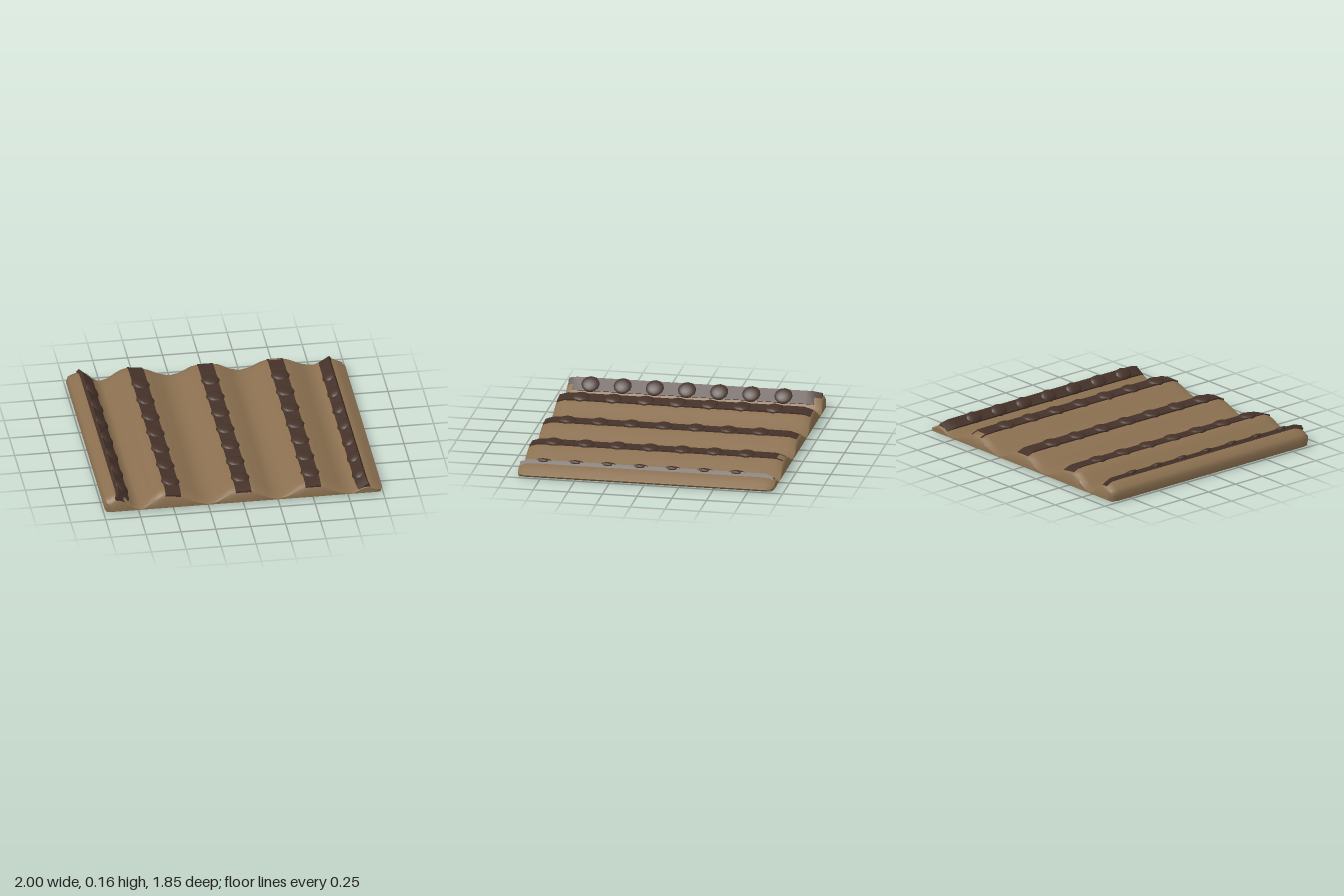
import * as THREE from 'three';
import { toCreasedNormals } from 'three/addons/utils/BufferGeometryUtils.js';

const clay = new THREE.MeshStandardMaterial({ color: 0x8b7050 });
const dark = new THREE.MeshStandardMaterial({ color: 0x453229 });

// Height of the wavy top at each x
const PROFILE = [
  [-1, 0.065], [-0.98, 0.1], [-0.93, 0.125], [-0.89, 0.135], [-0.85, 0.115], [-0.8, 0.06],
  [-0.77, 0.037], [-0.74, 0.03], [-0.7, 0.05], [-0.64, 0.1], [-0.6, 0.125], [-0.55, 0.14],
  [-0.46, 0.127], [-0.4, 0.1], [-0.33, 0.06], [-0.25, 0.03], [-0.19, 0.05], [-0.1, 0.105],
  [-0.04, 0.12], [0.04, 0.12], [0.1, 0.105], [0.18, 0.055], [0.25, 0.03], [0.31, 0.05],
  [0.4, 0.1], [0.46, 0.12], [0.54, 0.12], [0.6, 0.1], [0.69, 0.05], [0.75, 0.025],
  [0.79, 0.03], [0.85, 0.075], [0.9, 0.085], [0.95, 0.055], [0.985, 0.035], [1, 0.025],
];

// Lengthwise stations: z, half width, height factor, bottom lift
const STATIONS = [
  [-0.93, 0.95, 0.72, 0.008], [-0.915, 0.985, 0.86, 0.001], [-0.87, 1, 0.98, 0], [-0.8, 1, 1, 0],
  [0, 1, 1, 0],
  [0.8, 1, 1, 0], [0.86, 1, 0.98, 0], [0.905, 0.985, 0.86, 0.001], [0.92, 0.95, 0.72, 0.008],
];

function slabGeometry() {
  const n = PROFILE.length, ring = 2 * n, pos = [], idx = [];
  for (const [z, w, k, lift] of STATIONS) {
    // keep the crests in line and pull in only the outer margins
    const px = (x) => Math.max(-w, Math.min(w, x)) + Math.sign(x) * 0.0001 * Math.abs(x);
    const low = 0.01 + lift;
    for (const [x, y] of PROFILE) pos.push(px(x), Math.max(low + 0.004, y * k), z);
    for (let i = n - 1; i >= 0; i--) {
      const edge = i === 0 || i === n - 1;
      pos.push(px(PROFILE[i][0]) * (edge ? 0.985 : 1), low, z);
    }
  }
  for (let s = 0; s < STATIONS.length - 1; s++) {
    for (let i = 0; i < ring; i++) {
      const a = s * ring + i, b = s * ring + (i + 1) % ring, c = a + ring, d = b + ring;
      idx.push(a, c, b, b, c, d);
    }
  }
  // end caps
  const last = (STATIONS.length - 1) * ring;
  for (let i = 0; i < n - 1; i++) {
    const t0 = i, t1 = i + 1, b0 = ring - 1 - i, b1 = ring - 2 - i;
    idx.push(t0, t1, b0, t1, b1, b0);
    idx.push(last + t0, last + b0, last + t1, last + t1, last + b0, last + b1);
  }
  const g = new THREE.BufferGeometry();
  g.setAttribute('position', new THREE.Float32BufferAttribute(pos, 3));
  g.setIndex(idx);
  return toCreasedNormals(g, 0.9);
}

// Strip whose ends dip with the slab
function stripGeometry(width) {
  const g = new THREE.BoxGeometry(width, 0.03, 1.83, 1, 1, 30);
  const p = g.attributes.position;
  for (let i = 0; i < p.count; i++) {
    const over = Math.max(0, Math.abs(p.getZ(i)) - 0.85);
    p.setY(i, p.getY(i) - 0.015 - over * 0.33);
  }
  g.computeVertexNormals();
  return g;
}

// Strip and its row of seven bumps, lying on a ridge
function ridgeBand(x, y, tilt, width) {
  const band = new THREE.Group();
  band.name = 'ridgeBand';
  const strip = new THREE.Mesh(stripGeometry(width), dark);
  strip.name = 'strip';
  band.add(strip);
  const bumpGeo = new THREE.SphereGeometry(1, 12, 8);
  for (let i = 0; i < 7; i++) {
    const bump = new THREE.Mesh(bumpGeo, dark);
    bump.name = 'bump';
    bump.scale.set(width * 0.61, 0.024, 0.068);
    bump.position.set(0, -0.004, 0.75 - i * 0.232);
    band.add(bump);
  }
  band.position.set(x, y, 0);
  band.rotation.z = tilt;
  return band;
}

export function createModel() {
  const model = new THREE.Group();
  model.name = 'ridgedPanel';

  const slab = new THREE.Mesh(slabGeometry(), clay);
  slab.name = 'wavySlab';
  model.add(slab);

  // three crest bands and two tilted ones by the side edges
  const bands = [
    [-0.848, 0.117, -0.78, 0.105], [-0.5, 0.138, -0.13, 0.11], [0, 0.126, 0, 0.11],
    [0.5, 0.124, 0, 0.11], [0.845, 0.086, 0.57, 0.085],
  ];
  for (const b of bands) model.add(ridgeBand(...b));

  // small patch showing through underneath
  const patch = new THREE.Mesh(new THREE.BoxGeometry(0.06, 0.02, 0.08), dark);
  patch.name = 'undersidePatch';
  patch.position.set(0.86, 0.015, 0.76);
  model.add(patch);
  return model;
}
